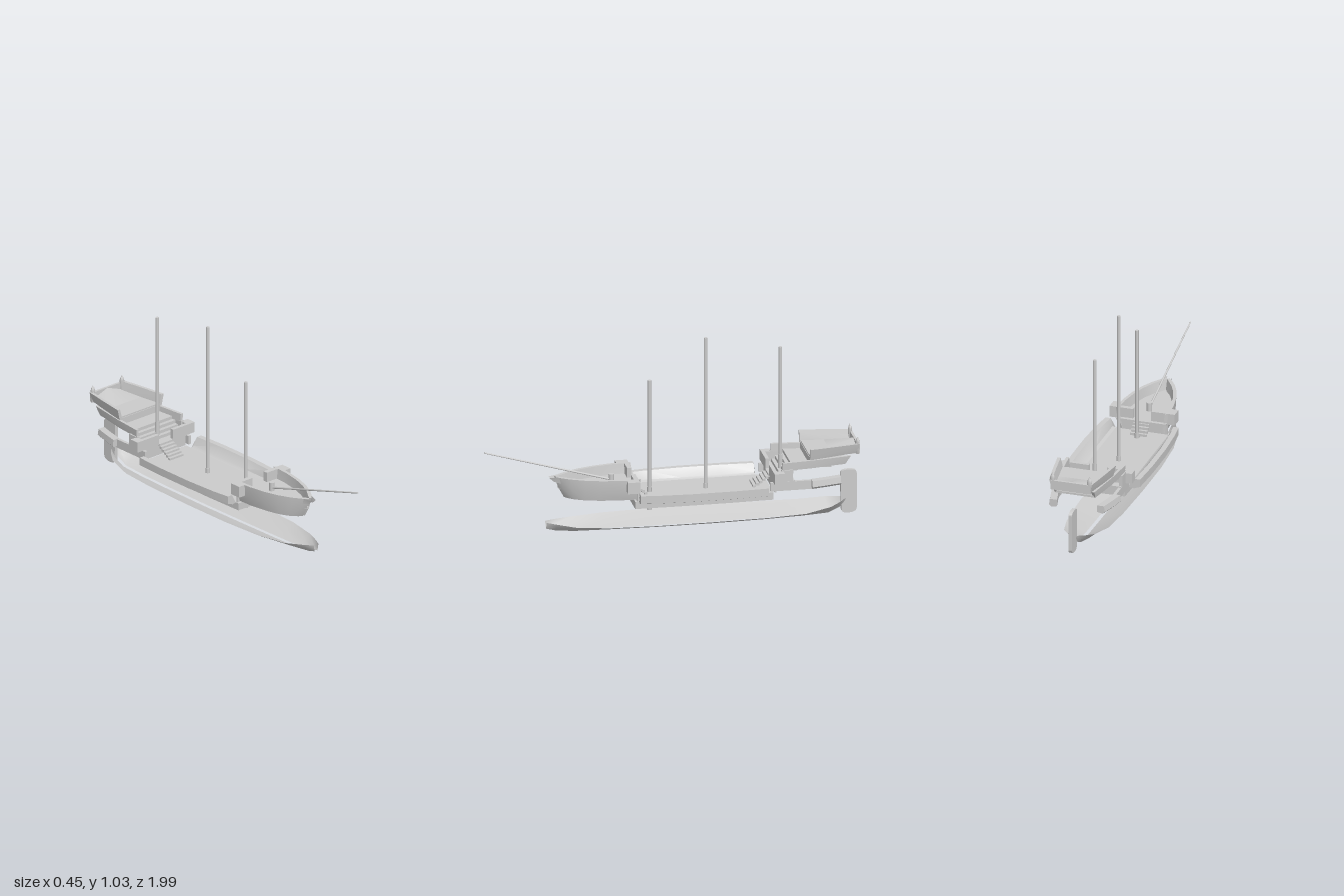
import * as THREE from 'three';
import { toCreasedNormals } from 'three/addons/utils/BufferGeometryUtils.js';

const mat = new THREE.MeshStandardMaterial({ color: 0xcccccc, side: THREE.DoubleSide });

export function createModel() {
  const model = new THREE.Group();

  const add = (name, geo, x = 0, y = 0, z = 0) => {
    const m = new THREE.Mesh(geo, mat);
    m.name = name;
    m.position.set(x, y, z);
    model.add(m);
    return m;
  };
  // Box given by its min and max corners
  const box = (name, x0, x1, y0, y1, z0, z1) =>
    add(name, new THREE.BoxGeometry(Math.abs(x1 - x0), y1 - y0, Math.abs(z1 - z0)),
      (x0 + x1) / 2, (y0 + y1) / 2, (z0 + z1) / 2);
  // Skin joining rows of [x, y, z] points; closed rows get end caps
  const loft = (name, rows, closed = false, side = 1) => {
    const n = rows[0].length, pos = [];
    const tri = (...pts) => pts.forEach(p => pos.push(p[0] * side, p[1], p[2]));
    for (let i = 0; i < rows.length - 1; i++) {
      for (let j = 0; j < (closed ? n : n - 1); j++) {
        const k = (j + 1) % n;
        const a = rows[i][j], b = rows[i][k], c = rows[i + 1][k], d = rows[i + 1][j];
        if (side > 0) { tri(a, b, c); tri(a, c, d); } else { tri(a, c, b); tri(a, d, c); }
      }
    }
    if (closed) {
      for (const r of [rows[0], rows[rows.length - 1]])
        for (let j = 1; j < n - 1; j++) tri(r[0], r[j], r[j + 1]);
    }
    const g = new THREE.BufferGeometry();
    g.setAttribute('position', new THREE.Float32BufferAttribute(pos, 3));
    return add(name, toCreasedNormals(g, 0.6));
  };
  // Flat plate from half-outline points [x, z], mirrored across the centre
  const plate = (name, half, y0, y1) => {
    const pts = [...half, ...half.slice().reverse().map(([x, z]) => [-x, z])];
    const shape = new THREE.Shape(pts.map(([x, z]) => new THREE.Vector2(x, -z)));
    const g = new THREE.ExtrudeGeometry(shape, { depth: y1 - y0, bevelEnabled: false });
    g.rotateX(-Math.PI / 2);
    return add(name, g, 0, y0, 0);
  };
  // Flight of steps climbing from z0 to z1
  const stairs = (name, halfW, y0, y1, z0, z1, n) => {
    for (let i = 0; i < n; i++) {
      const top = y0 + (y1 - y0) * (i + 1) / n;
      box(name, -halfW, halfW, top - (y1 - y0) / n * 1.2, top,
        z0 + (z1 - z0) * i / n, z0 + (z1 - z0) * (i + 1) / n);
    }
  };

  // Lower hull: two shallow sheets with a slit along the keel [z, keelY, edgeX, edgeY]
  const hull = [
    [0.67, 0.035, 0.016, 0.07], [0.62, 0.022, 0.045, 0.066], [0.52, 0.012, 0.09, 0.057],
    [0.35, 0.009, 0.125, 0.055], [0.1, 0.006, 0.14, 0.055], [-0.2, 0.004, 0.14, 0.055],
    [-0.5, 0.006, 0.132, 0.055], [-0.7, 0.01, 0.118, 0.058], [-0.84, 0.018, 0.085, 0.075],
    [-0.9, 0.045, 0.045, 0.087], [-0.93, 0.08, 0.015, 0.094]];
  for (const s of [1, -1]) {
    loft('lowerHull', hull.map(([z, k, x, y]) =>
      [[0.01, k, z], [0.01 + (x - 0.01) * 0.55, k + (y - k) * 0.48, z], [x, y, z]]), false, s);
  }

  // Rudder with rounded corners
  const r = new THREE.Shape();
  r.moveTo(0.91, 0.03).quadraticCurveTo(0.91, 0.01, 0.945, 0.01).quadraticCurveTo(0.99, 0.01, 0.992, 0.035);
  r.lineTo(0.992, 0.23).quadraticCurveTo(0.992, 0.25, 0.95, 0.25).quadraticCurveTo(0.91, 0.25, 0.905, 0.23);
  const rg = new THREE.ExtrudeGeometry(r, { depth: 0.02, bevelEnabled: false });
  rg.translate(0, 0, -0.01).rotateY(Math.PI / 2);
  add('rudder', rg);

  // Main deck
  plate('mainDeck', [[0.145, 0.22], [0.15, 0], [0.15, -0.3], [0.145, -0.52]], 0.16, 0.2);

  // Waist bulwarks [z, outward shift]
  const waist = [[0.2, -0.022], [0.1, -0.01], [-0.08, 0], [-0.3, 0], [-0.48, -0.008]];
  for (const s of [1, -1]) {
    loft('waistBulwark', waist.map(([z, d]) => [
      [0.146, 0.2, z], [0.19 + d, 0.195, z], [0.224 + d, 0.208, z],
      [0.224 + d, 0.25, z], [0.195 + d, 0.25, z], [0.162, 0.207, z]]), true, s);
  }

  // Forecastle: flared walls with thickness, and deck [z, halfWidth, bow rake]
  const bow = [[0.2, 0.145, 0], [0.3, 0.14, 0], [0.4, 0.122, 0], [0.48, 0.098, 0.005],
    [0.55, 0.065, 0.02], [0.6, 0.032, 0.04], [0.625, 0.008, 0.05]];
  for (const s of [1, -1]) {
    loft('forecastleWall', bow.map(([z, x, k]) => [
      [x * 0.86, 0.205, z - k], [x * 0.97, 0.26, z - k * 0.4], [x, 0.32, z],
      [Math.max(x - 0.016, 0), 0.32, z - 0.01], [Math.max(x * 0.97 - 0.02, 0), 0.26, z - 0.012 - k * 0.4],
      [Math.max(x * 0.86 - 0.016, 0), 0.205, z - 0.01 - k]]), true, s);
    // Fender blocks at the break of the forecastle
    box('forecastleRail', s * 0.05, s * 0.18, 0.262, 0.32, 0.2, 0.225);
    box('forecastleRailEnd', s * 0.135, s * 0.18, 0.258, 0.32, 0.2, 0.265);
    // Small horns at the stem
    loft('stemHorn', [[[0.03, 0.32, 0.6], [0.03, 0.285, 0.59]], [[0.012, 0.318, 0.655], [0.012, 0.295, 0.63]]], false, s);
  }
  plate('forecastleDeck', bow.map(([z, x]) => [x * 0.95, z - 0.02]), 0.255, 0.266);
  box('forecastleBulkhead', -0.14, 0.14, 0.2, 0.258, 0.2, 0.208);
  stairs('forecastleStairs', 0.045, 0.2, 0.266, 0.135, 0.205, 5);

  // Quarterdeck front with its rails
  box('quarterDeck', -0.16, 0.16, 0.255, 0.266, -0.63, -0.52);
  box('quarterBulkhead', -0.145, 0.145, 0.2, 0.258, -0.535, -0.525);
  stairs('quarterStairs', 0.047, 0.2, 0.266, -0.43, -0.53, 6);
  stairs('poopStairs', 0.145, 0.266, 0.335, -0.565, -0.645, 4);
  for (const s of [1, -1]) {
    box('quarterRail', s * 0.05, s * 0.2, 0.262, 0.32, -0.535, -0.515);
    box('quarterRailEnd', s * 0.155, s * 0.2, 0.262, 0.32, -0.57, -0.515);
    box('quarterRailSide', s * 0.145, s * 0.165, 0.262, 0.325, -0.62, -0.56);
    box('cabinSide', s * 0.145, s * 0.162, 0.212, 0.26, -0.74, -0.5);
    // Side gallery
    loft('sideGallery', [[-0.72, 0.192], [-0.8, 0.175], [-0.88, 0.155]].map(([z, x]) => [
      [x - 0.045, 0.225, z], [x - 0.012, 0.218, z], [x, 0.23, z],
      [x - 0.006, 0.262, z], [x - 0.045, 0.262, z]]), true, s);

    // Lower poop wall
    loft('poopWall', [[-0.565, 0.16, 0], [-0.72, 0.145, 0], [-0.91, 0.112, 0.03]].map(([z, x, k]) => [
      [x - 0.014, 0.32, z], [x, 0.32, z], [x + 0.004, 0.364, z - k], [x - 0.012, 0.364, z - k]]), true, s);
    // Upper poop bulwark
    loft('poopBulwark', [[-0.715, 0.147], [-0.85, 0.127], [-0.985, 0.104]].map(([z, x], i) => [
      [x - 0.016, 0.366 + i * 0.005, z], [x, 0.366 + i * 0.005, z], [x + 0.007, 0.395, z],
      [x + 0.015, 0.428, z], [x - 0.002, 0.428, z], [x - 0.012, 0.39, z]]), true, s);
    // Stern post with pointed finial
    const post = add('sternPost', new THREE.LatheGeometry(
      [[0, 0.37], [0.011, 0.37], [0.014, 0.435], [0.009, 0.45], [0, 0.466]]
        .map(p => new THREE.Vector2(...p)), 8), s * 0.102, 0, -0.978);
    post.scale.z = 0.8;
  }
  plate('poopDeck', [[0.15, -0.63], [0.138, -0.72], [0.105, -0.92]], 0.324, 0.335);
  plate('upperPoopDeck', [[0.135, -0.72], [0.115, -0.85], [0.098, -0.975]], 0.37, 0.38);
  box('poopStep', -0.135, 0.135, 0.33, 0.372, -0.727, -0.717);
  // Pitched stern roof and transom
  loft('sternRoof', [[[-0.118, 0.38, -0.84], [0, 0.381, -0.84], [0.118, 0.38, -0.84]],
    [[-0.1, 0.385, -0.98], [0, 0.422, -0.98], [0.1, 0.385, -0.98]]]);
  box('transom', -0.11, 0.11, 0.372, 0.424, -0.99, -0.977);

  // Masts [z, foot, top, collarBottom, collarTop]
  for (const [z, y0, y1, c0, c1] of [[0.115, 0.1, 0.82, 0.1, 0.228],
    [-0.185, 0.15, 1.036, 0.15, 0.228], [-0.585, 0.23, 0.957, 0.23, 0.36]]) {
    add('mast', new THREE.CylinderGeometry(0.0095, 0.0095, y1 - y0, 12), 0, (y0 + y1) / 2, z);
    add('mastCollar', new THREE.CylinderGeometry(0.012, 0.013, c1 - c0, 12), 0, (c0 + c1) / 2, z);
  }

  // Bowsprit and its bitt
  const a = new THREE.Vector3(0, 0.282, 0.32), b = new THREE.Vector3(0, 0.478, 1);
  const sprit = add('bowsprit', new THREE.CylinderGeometry(0.004, 0.006, a.distanceTo(b), 10));
  sprit.position.copy(a).lerp(b, 0.5);
  sprit.quaternion.setFromUnitVectors(new THREE.Vector3(0, 1, 0), b.clone().sub(a).normalize());
  add('bowspritBitt', new THREE.CylinderGeometry(0.014, 0.014, 0.05, 12), 0, 0.288, 0.32);

  return model;
}
